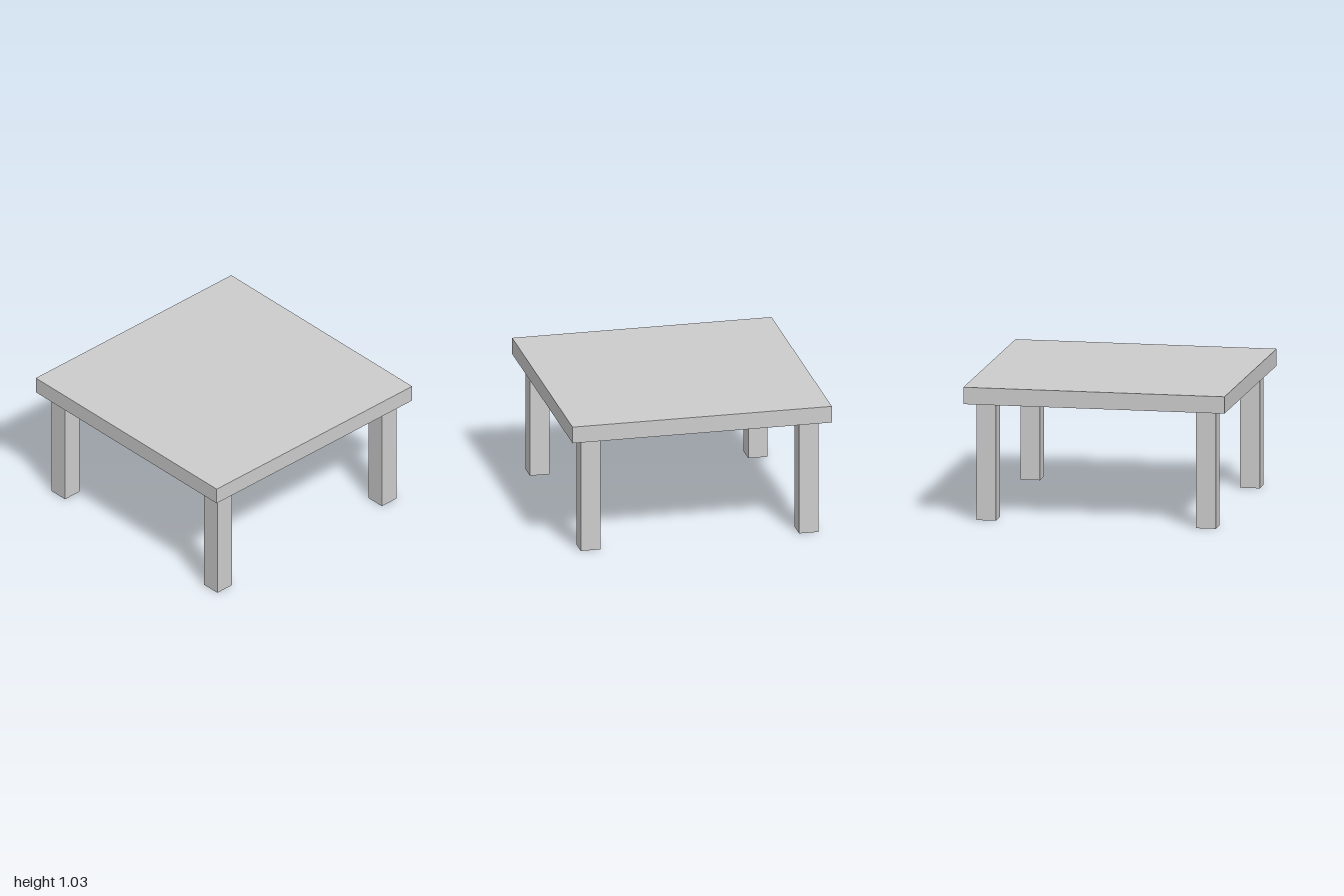
import * as THREE from 'three';

export function createModel() {
  const table = new THREE.Group();
  table.name = 'table';

  const topBase = 0.898, topHeight = 1.027;
  const legWidth = 0.15, legOffset = 0.842;

  // Square slab top
  const thickness = topHeight - topBase;
  const top = new THREE.Mesh(
    new THREE.BoxGeometry(2, thickness, 2),
    new THREE.MeshStandardMaterial({ color: 0xcccccc, flatShading: true })
  );
  top.name = 'tableTop';
  top.position.y = topBase + thickness / 2;
  table.add(top);

  // Four hollow square legs, open at the foot
  const legGeometry = new THREE.CylinderGeometry(
    legWidth * Math.SQRT1_2, legWidth * Math.SQRT1_2, topBase, 4, 1, true, Math.PI / 4
  );
  const legMaterial = new THREE.MeshStandardMaterial({
    color: 0xcccccc, flatShading: true, side: THREE.DoubleSide
  });
  for (const [zName, z] of [['front', 1], ['back', -1]]) {
    for (const [xName, x] of [['Left', 1], ['Right', -1]]) {
      const leg = new THREE.Mesh(legGeometry, legMaterial);
      leg.name = `${zName}${xName}Leg`;
      leg.position.set(x * legOffset, topBase / 2, z * legOffset);
      table.add(leg);
    }
  }

  return table;
}
